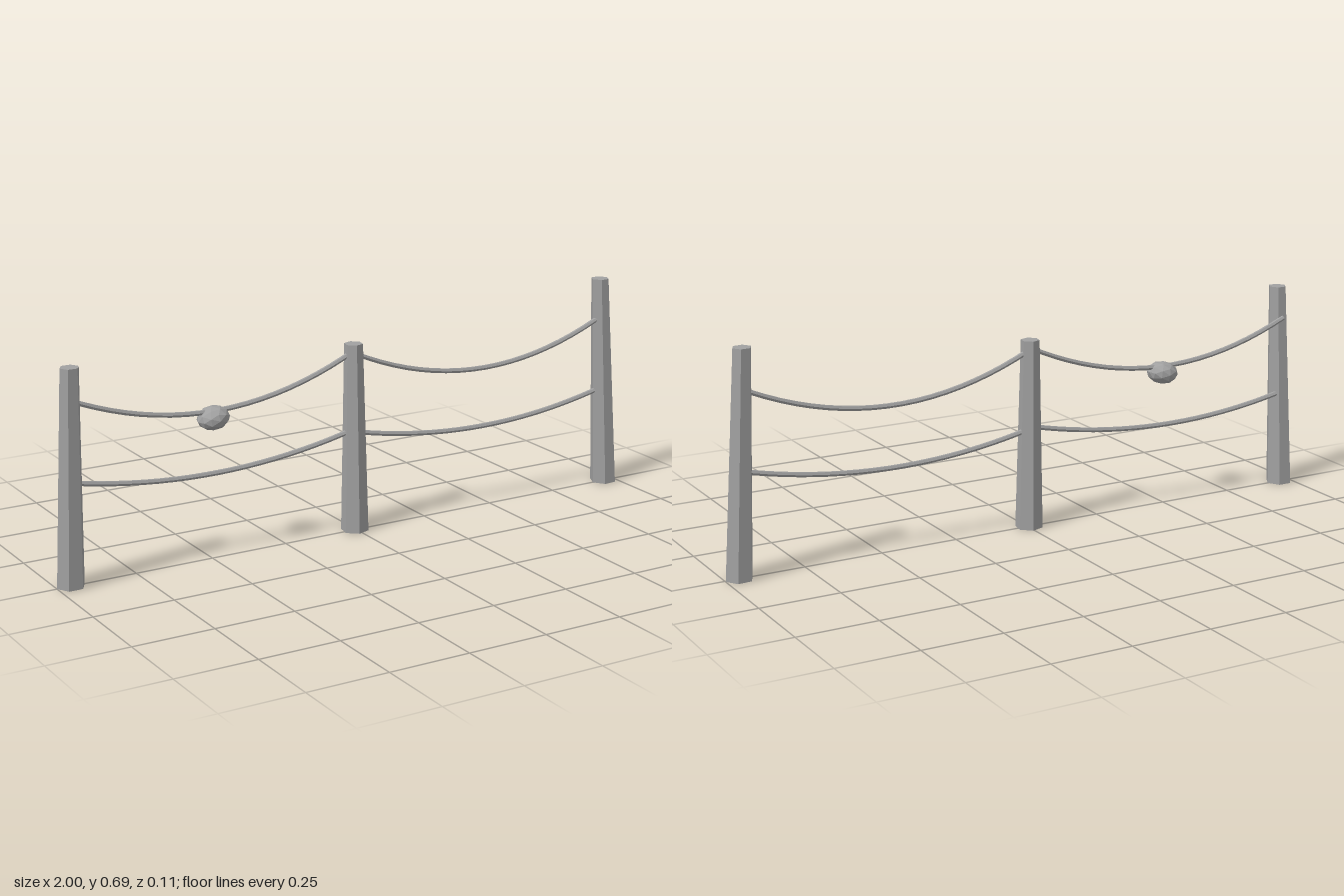
import * as THREE from 'three';

const grey = new THREE.MeshStandardMaterial({ color: 0xa0a0a0, flatShading: true });
grey.name = 'weatheredGrey';

// Tapered six-sided post; its top is slid sideways so both ends stay level
function post(name, base, top, height, turn) {
  const geo = new THREE.CylinderGeometry(0.029, 0.043, height, 6);
  geo.rotateY(Math.PI / 2 + turn);
  geo.translate(0, height / 2, 0);
  const p = geo.attributes.position;
  for (let i = 0; i < p.count; i++) {
    const t = p.getY(i) / height;
    p.setX(i, p.getX(i) + THREE.MathUtils.lerp(base[0], top[0], t));
    p.setZ(i, p.getZ(i) + THREE.MathUtils.lerp(base[1], top[1], t));
  }
  geo.computeVertexNormals();
  const mesh = new THREE.Mesh(geo, grey);
  mesh.name = name;
  return mesh;
}

// Rope sagging between two posts, with its height given at the ends and middle
function rope(name, x0, y0, yMid, x1, y1) {
  const z = -0.006;
  const curve = new THREE.QuadraticBezierCurve3(
    new THREE.Vector3(x0, y0, z),
    new THREE.Vector3((x0 + x1) / 2, 2 * yMid - (y0 + y1) / 2, z),
    new THREE.Vector3(x1, y1, z)
  );
  const mesh = new THREE.Mesh(new THREE.TubeGeometry(curve, 20, 0.008, 6), grey);
  mesh.name = name;
  return mesh;
}

export function createModel() {
  const group = new THREE.Group();
  group.name = 'ropeFence';

  group.add(
    post('rightPost', [-0.957, 0], [-0.947, 0.027], 0.657, 0),
    post('middlePost', [-0.004, -0.002], [-0.007, -0.004], 0.595, 0.35),
    post('leftPost', [0.957, -0.002], [0.928, -0.015], 0.687, 0.08)
  );

  group.add(
    rope('upperRopeRight', -0.95, 0.557, 0.453, 0, 0.573),
    rope('upperRopeLeft', 0, 0.562, 0.453, 0.95, 0.573),
    rope('lowerRopeRight', -0.95, 0.31, 0.262, 0, 0.325),
    rope('lowerRopeLeft', 0, 0.315, 0.262, 0.95, 0.325)
  );

  // Faceted knot hanging on the upper rope
  const knotGeo = new THREE.IcosahedronGeometry(1, 1);
  knotGeo.scale(0.05, 0.036, 0.048);
  const knot = new THREE.Mesh(knotGeo, grey);
  knot.name = 'ropeKnot';
  knot.position.set(-0.485, 0.433, -0.006);
  knot.rotation.z = 0.15;
  group.add(knot);

  return group;
}
